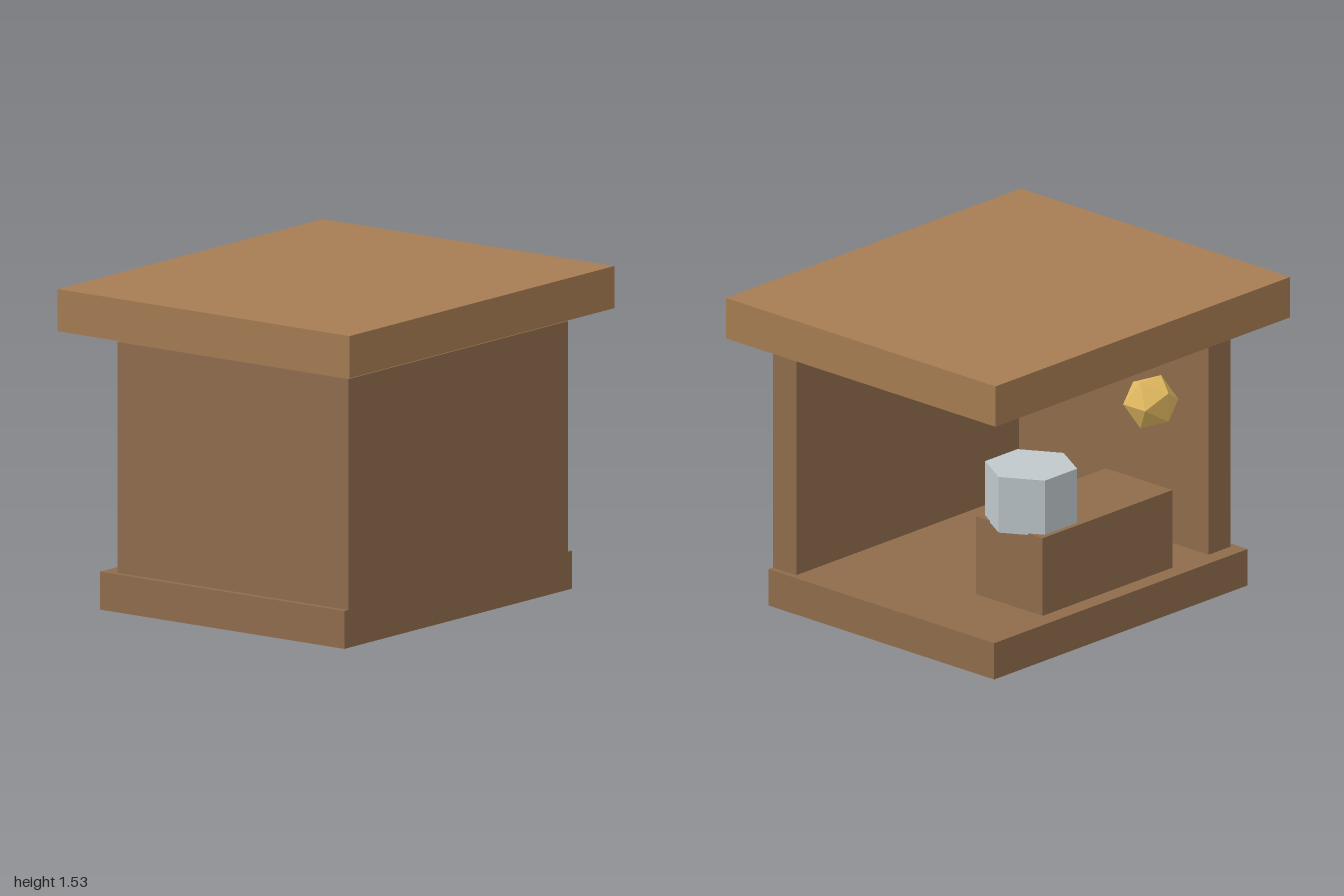
import * as THREE from 'three';

const material = (color) => new THREE.MeshStandardMaterial({ color, flatShading: true });

export function createModel() {
  const group = new THREE.Group();
  const wood = material(0x8f6c4c);
  const roofWood = material(0xa67c52);
  const steel = material(0xc0c8cc);
  const brass = material(0xe0b860);

  const add = (name, geometry, mat, x, y, z) => {
    const mesh = new THREE.Mesh(geometry, mat);
    mesh.name = name;
    mesh.position.set(x, y, z);
    group.add(mesh);
    return mesh;
  };

  // Floor slab and overhanging roof, which floats just above the walls
  add('floor', new THREE.BoxGeometry(1.72, 0.18, 1.44), wood, 0, 0.09, 0);
  add('roof', new THREE.BoxGeometry(2, 0.2, 1.72), roofWood, 0, 1.427, 0);

  // Front wall and right-hand wall as one L-shaped plan, extruded upwards
  const plan = new THREE.Shape([
    [-0.83, -0.72], [0.83, -0.72], [0.83, -0.57],
    [-0.68, -0.57], [-0.68, 0.64], [-0.83, 0.64],
  ].map(([x, y]) => new THREE.Vector2(x, y)));
  const walls = new THREE.ExtrudeGeometry(plan, { depth: 1.096, bevelEnabled: false });
  walls.rotateX(-Math.PI / 2);
  add('walls', walls, wood, 0, 0.18, 0);

  // Counter at the open back
  add('counter', new THREE.BoxGeometry(0.88, 0.385, 0.424), wood, 0, 0.3725, -0.423);

  // Hexagonal block on the counter, corner pointing sideways
  const block = add('hexagonalBlock', new THREE.CylinderGeometry(0.22, 0.22, 0.276, 6), steel, 0.29, 0.695, -0.42);
  block.rotation.y = Math.PI / 6;

  // Floating faceted lamp
  add('lamp', new THREE.IcosahedronGeometry(0.133, 0), brass, -0.475, 0.95, -0.464);

  return group;
}
